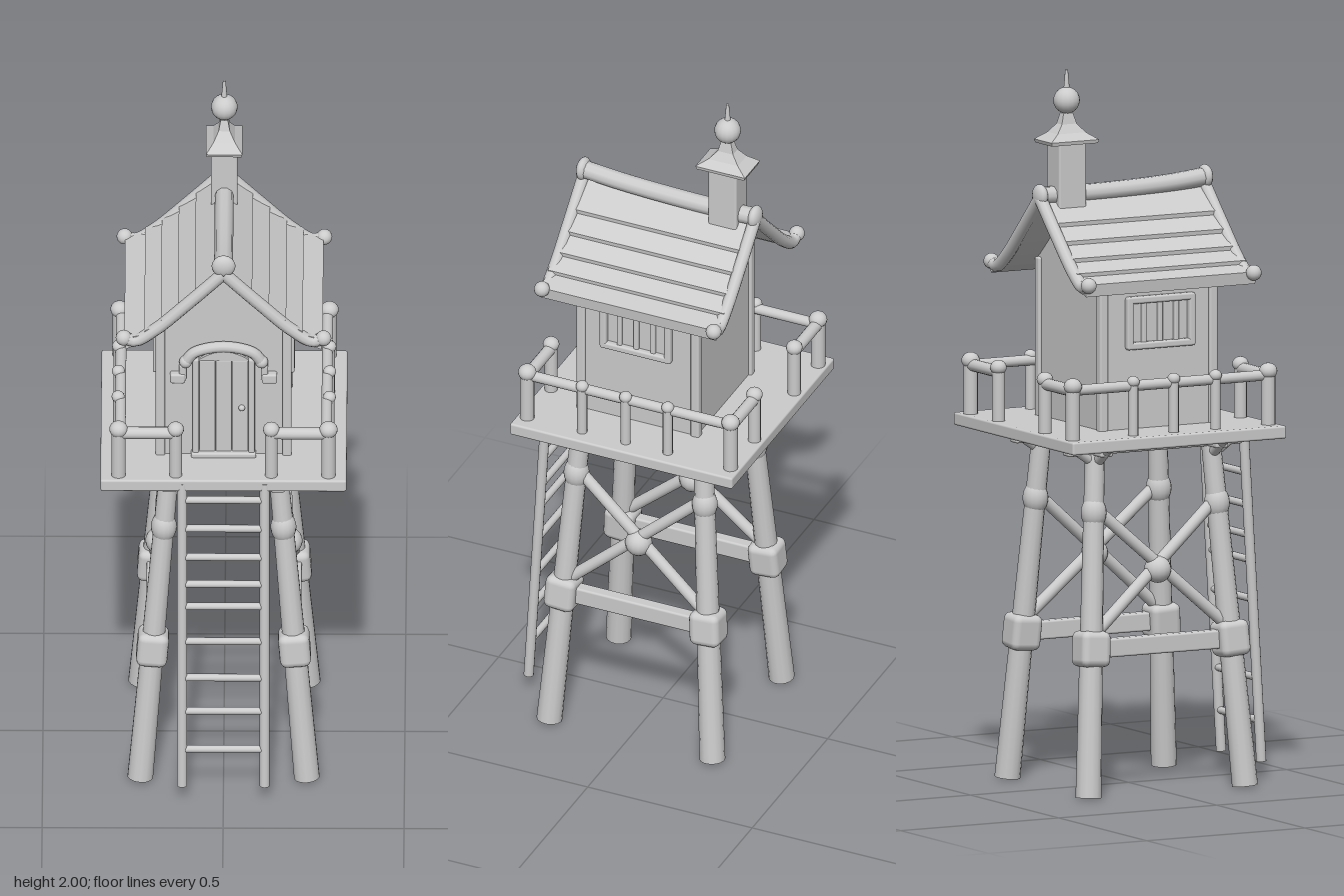
import * as THREE from 'three';
import { RoundedBoxGeometry } from 'three/addons/geometries/RoundedBoxGeometry.js';

const grey = new THREE.MeshStandardMaterial({ color: 0xcccccc });
const faceted = new THREE.MeshStandardMaterial({ color: 0xcccccc, flatShading: true });
const V = (x, y, z) => new THREE.Vector3(x, y, z);

export function createModel() {
  const root = new THREE.Group();
  const group = (name) => {
    const g = new THREE.Group();
    g.name = name;
    root.add(g);
    return g;
  };
  const add = (parent, name, geo, pos = [0, 0, 0], mat = grey) => {
    const m = new THREE.Mesh(geo, mat);
    m.name = name;
    m.position.set(...pos);
    parent.add(m);
    return m;
  };
  const box = (parent, name, w, h, d, pos, r = 0.006) =>
    add(parent, name, new RoundedBoxGeometry(w, h, d, 2, Math.min(r, w / 2.1, h / 2.1, d / 2.1)), pos);
  const ball = (parent, name, r, pos) => add(parent, name, new THREE.SphereGeometry(r, 16, 12), pos);
  // Round pole from a to b
  const rod = (parent, name, a, b, ra, rb = ra) => {
    const dir = b.clone().sub(a);
    const m = add(parent, name, new THREE.CylinderGeometry(rb, ra, dir.length(), 14));
    m.position.copy(a).add(b).multiplyScalar(0.5);
    m.quaternion.setFromUnitVectors(V(0, 1, 0), dir.normalize());
    return m;
  };
  const tube = (parent, name, pts, r) =>
    add(parent, name, new THREE.TubeGeometry(new THREE.CatmullRomCurve3(pts), 24, r, 10));

  // Splayed legs with collars, joined on each side by a beam and a cross brace
  const legs = group('legs');
  const legAt = (sx, front, y) => {
    const t = y / 0.97;
    return V(sx * (0.23 - 0.08 * t), y, front ? 0.24 - 0.065 * t : -0.255 + 0.065 * t);
  };
  for (const s of [-1, 1]) {
    for (const f of [true, false]) {
      const tilt = rod(legs, 'leg', legAt(s, f, 0), legAt(s, f, 0.98), 0.036, 0.027).quaternion;
      const c = legAt(s, f, 0.41);
      box(legs, 'legCollar', 0.086, 0.1, 0.09, c.toArray(), 0.02).quaternion.copy(tilt);
      const k = ball(legs, 'braceKnot', 0.036, legAt(s, f, 0.785).toArray());
      k.scale.y = 1.3;
      rod(legs, 'crossBrace', legAt(s, f, 0.44), legAt(s, !f, 0.8), 0.017);
    }
    const a = legAt(s, true, 0.41), b = legAt(s, false, 0.41);
    box(legs, 'sideBeam', 0.036, 0.052, a.z - b.z, [a.x, 0.41, (a.z + b.z) / 2]);
    ball(legs, 'braceHub', 0.038, [legAt(s, true, 0.615).x, 0.615, -0.008]);
  }

  // Deck, joists and the corner brackets under it
  const deck = group('platform');
  box(deck, 'deckBoard', 0.68, 0.036, 0.676, [0, 0.995, -0.027]);
  for (const z of [0.175, -0.19]) box(deck, 'crossJoist', 0.44, 0.034, 0.04, [0, 0.962, z]);
  for (const s of [-1, 1]) {
    box(deck, 'sideJoist', 0.04, 0.034, 0.55, [s * 0.15, 0.962, -0.008]);
    for (const f of [1, -1]) {
      const z = f > 0 ? 0.175 : -0.19;
      rod(deck, 'bracket', V(s * 0.155, 0.92, z), V(s * 0.225, 0.972, z), 0.016);
      rod(deck, 'bracket', V(s * 0.155, 0.92, z), V(s * 0.155, 0.972, z + f * 0.075), 0.016);
    }
  }

  // Railings, open in the middle at the front and the back
  const rails = group('railings');
  const post = (x, z, r) => {
    rod(rails, 'railPost', V(x, 1.0, z), V(x, 1.165, z), r);
    const k = ball(rails, 'postKnob', r * 1.28, [x, 1.162, z]);
    k.scale.y = 0.9;
  };
  for (const s of [-1, 1]) {
    for (const z of [0.28, -0.338]) {
      post(s * 0.29, z, 0.02);
      post(s * 0.132, z, 0.018);
      rod(rails, 'endRail', V(s * 0.29, 1.15, z), V(s * 0.132, 1.15, z), 0.017);
    }
    rod(rails, 'sideRail', V(s * 0.285, 1.15, 0.28), V(s * 0.285, 1.15, -0.338), 0.015);
    for (const z of [0.112, -0.02, -0.148]) post(s * 0.292, z, 0.014);
  }

  // Ladder leaning on the front edge
  const ladder = group('ladder');
  const ladderZ = (y) => 0.356 - 0.06 * (y - 0.05);
  for (const s of [-1, 1])
    rod(ladder, 'ladderRail', V(s * 0.114, 0.045, ladderZ(0.045)), V(s * 0.114, 1.0, ladderZ(1.0)), 0.014);
  for (const y of [0.16, 0.28, 0.385, 0.5, 0.61, 0.68, 0.765, 0.855, 0.945])
    rod(ladder, 'rung', V(-0.114, y, ladderZ(y)), V(0.114, y, ladderZ(y)), 0.0105);

  // Cabin body with gable ends
  const cabin = group('cabin');
  const wall = new THREE.Shape(
    [[-0.18, 1.0], [0.18, 1.0], [0.18, 1.465], [0.09, 1.545], [0, 1.635], [-0.09, 1.545], [-0.18, 1.465]]
      .map((p) => new THREE.Vector2(...p)));
  add(cabin, 'walls', new THREE.ExtrudeGeometry(wall, { depth: 0.355, bevelEnabled: false }), [0, 0, -0.185]);
  for (const s of [-1, 1]) {
    for (const z of [0.166, -0.181]) box(cabin, 'cornerPost', 0.026, 0.45, 0.026, [s * 0.175, 1.23, z]);
    // Side window: pane frame and upright bars
    for (const y of [1.244, 1.372]) box(cabin, 'windowFrame', 0.022, 0.02, 0.215, [s * 0.185, y, -0.003]);
    for (const z of [0.095, -0.101]) box(cabin, 'windowFrame', 0.022, 0.145, 0.02, [s * 0.185, 1.308, z]);
    for (const z of [0.048, -0.003, -0.054])
      box(cabin, 'windowBar', 0.014, 0.13, 0.014, [s * 0.183, 1.308, z], 0.004);
  }

  // Front door with posts, bent lintel and side blocks
  const door = group('door');
  for (const x of [-0.045, 0, 0.045]) box(door, 'doorPlank', 0.044, 0.31, 0.014, [x, 1.168, 0.172], 0.004);
  const panel = new THREE.Shape();
  panel.moveTo(-0.075, 0);
  panel.lineTo(0.075, 0);
  panel.quadraticCurveTo(0, 0.06, -0.075, 0);
  add(door, 'doorTop', new THREE.ExtrudeGeometry(panel, { depth: 0.012, bevelEnabled: false }), [0, 1.32, 0.166]);
  for (const s of [-1, 1]) {
    box(door, 'doorPost', 0.018, 0.32, 0.026, [s * 0.077, 1.17, 0.174]);
    box(door, 'sideBlock', 0.042, 0.03, 0.026, [s * 0.127, 1.268, 0.178]);
    box(door, 'sideBlock', 0.02, 0.05, 0.022, [s * 0.113, 1.285, 0.176]);
  }
  box(door, 'doorSill', 0.18, 0.018, 0.03, [0, 1.018, 0.178]);
  tube(door, 'doorLintel', [V(-0.105, 1.318, 0.177), V(-0.08, 1.35, 0.18), V(0, 1.37, 0.182),
    V(0.08, 1.35, 0.18), V(0.105, 1.318, 0.177)], 0.016);
  for (const s of [-1, 1]) ball(door, 'lintelEnd', 0.018, [s * 0.105, 1.318, 0.177]);
  ball(door, 'doorKnob', 0.009, [0.05, 1.17, 0.182]);

  // Sagging roof of overlapping boards, mirrored on both slopes
  const roof = group('roof');
  const slope = [[0, 1.625], [0.075, 1.552], [0.122, 1.507], [0.169, 1.465], [0.215, 1.43], [0.27, 1.405]];
  for (const s of [-1, 1]) {
    for (let i = 0; i < slope.length - 1; i++) {
      const [x0, y0] = slope[i], [x1, y1] = slope[i + 1];
      const board = [[x0, y0], [x1, y1], [x1 + 0.004, y1 + 0.034], [x0, y0 + 0.024]]
        .map(([x, y]) => new THREE.Vector2(s * x, y));
      add(roof, 'roofBoard', new THREE.ExtrudeGeometry(new THREE.Shape(board), { depth: 0.535, bevelEnabled: false }),
        [0, 0, -0.285]);
    }
    // Gable trim poles with upturned ends
    for (const z of [0.242, -0.28]) {
      tube(roof, 'gableTrim', [V(0, 1.648, z), V(s * 0.1, 1.548, z), V(s * 0.19, 1.463, z),
        V(s * 0.245, 1.428, z), V(s * 0.278, 1.438, z)], 0.018);
      ball(roof, 'trimEnd', 0.022, [s * 0.276, 1.437, z]);
    }
  }
  tube(roof, 'ridgePole', [V(0, 1.672, 0.25), V(0, 1.66, 0.12), V(0, 1.652, -0.1), V(0, 1.653, -0.285)], 0.026);
  for (const [y, z] of [[1.672, 0.242], [1.653, -0.28]]) {
    const k = ball(roof, 'ridgeEnd', 0.033, [0, y, z]);
    k.scale.z = 0.55;
  }

  // Chimney with flared cap, ball and spike
  const chimney = group('chimney');
  const cz = -0.196;
  box(chimney, 'chimneyStack', 0.074, 0.26, 0.086, [0, 1.675, cz]);
  const cap = [[0, 1.79], [0.068, 1.796], [0.071, 1.806], [0.042, 1.826], [0.022, 1.85], [0.014, 1.88], [0, 1.882]]
    .map((p) => new THREE.Vector2(...p));
  const capGeo = new THREE.LatheGeometry(cap, 4).rotateY(Math.PI / 4).scale(1, 1, 1.5);
  add(chimney, 'chimneyCap', capGeo, [0, 0, cz], faceted);
  ball(chimney, 'finialBall', 0.037, [0, 1.915, cz]);
  rod(chimney, 'finialSpike', V(0, 1.94, cz), V(0, 2.0, cz), 0.009, 0.004);
  return root;
}
